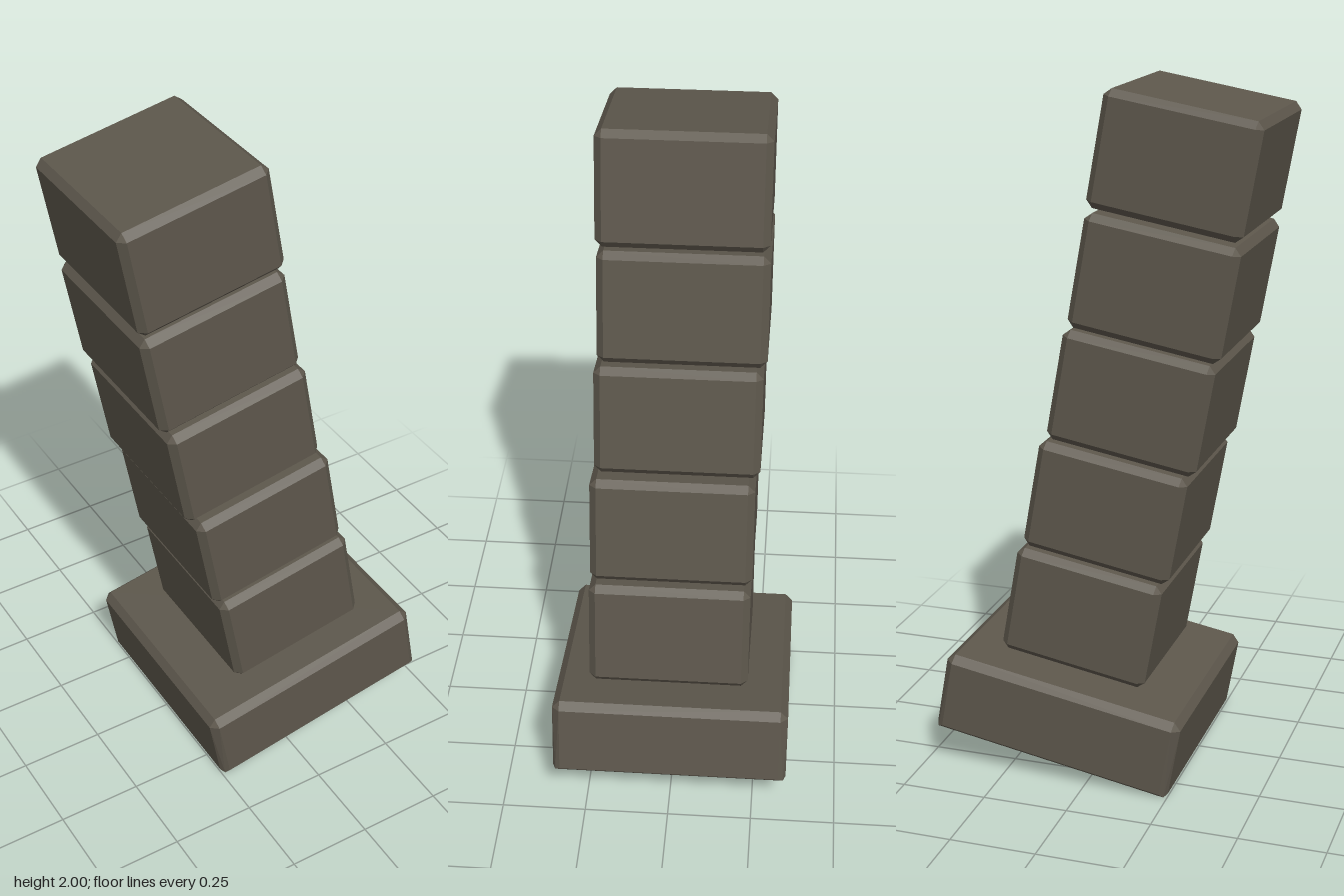
import * as THREE from 'three';
import { ConvexGeometry } from 'three/addons/geometries/ConvexGeometry.js';

// Box with flat chamfers; bottom edges may have their own chamfer size
function chamferedBox(w, h, d, c, cBottom = c) {
  const points = [];
  for (const sx of [-1, 1]) for (const sy of [-1, 1]) for (const sz of [-1, 1]) {
    const b = sy < 0 ? cBottom : c;
    const x = w / 2, y = h / 2, z = d / 2;
    points.push(
      new THREE.Vector3(sx * x, sy * (y - b), sz * (z - c)),
      new THREE.Vector3(sx * (x - c), sy * (y - b), sz * z),
      new THREE.Vector3(sx * (x - b), sy * y, sz * (z - b)),
    );
  }
  return new ConvexGeometry(points);
}

export function createModel() {
  const model = new THREE.Group();
  model.name = 'leaningPillar';
  const stone = new THREE.MeshStandardMaterial({ color: 0x5d574c, flatShading: true });
  stone.name = 'weathered stone';
  const lean = THREE.MathUtils.degToRad(10);

  function addBlock(name, geometry, x, y, z) {
    const mesh = new THREE.Mesh(geometry, stone);
    mesh.name = name;
    mesh.position.set(x, y, z);
    mesh.rotation.z = lean;
    model.add(mesh);
  }

  // Wide plinth
  addBlock('plinth', chamferedBox(0.722, 0.235, 0.7, 0.022, 0.008), 0.088, 0.18, 0);

  // Stacked shaft blocks, each slightly shifted
  const centres = [
    [0.055, 0.467, 0.013],
    [-0.018, 0.8, 0.01],
    [-0.097, 1.135, -0.002],
    [-0.165, 1.467, -0.011],
    [-0.22, 1.803, -0.008],
  ];
  centres.forEach(([x, y, z], i) =>
    addBlock(`shaftBlock${i + 1}`, chamferedBox(0.446, 0.328, 0.476, 0.02), x, y, z));

  return model;
}
